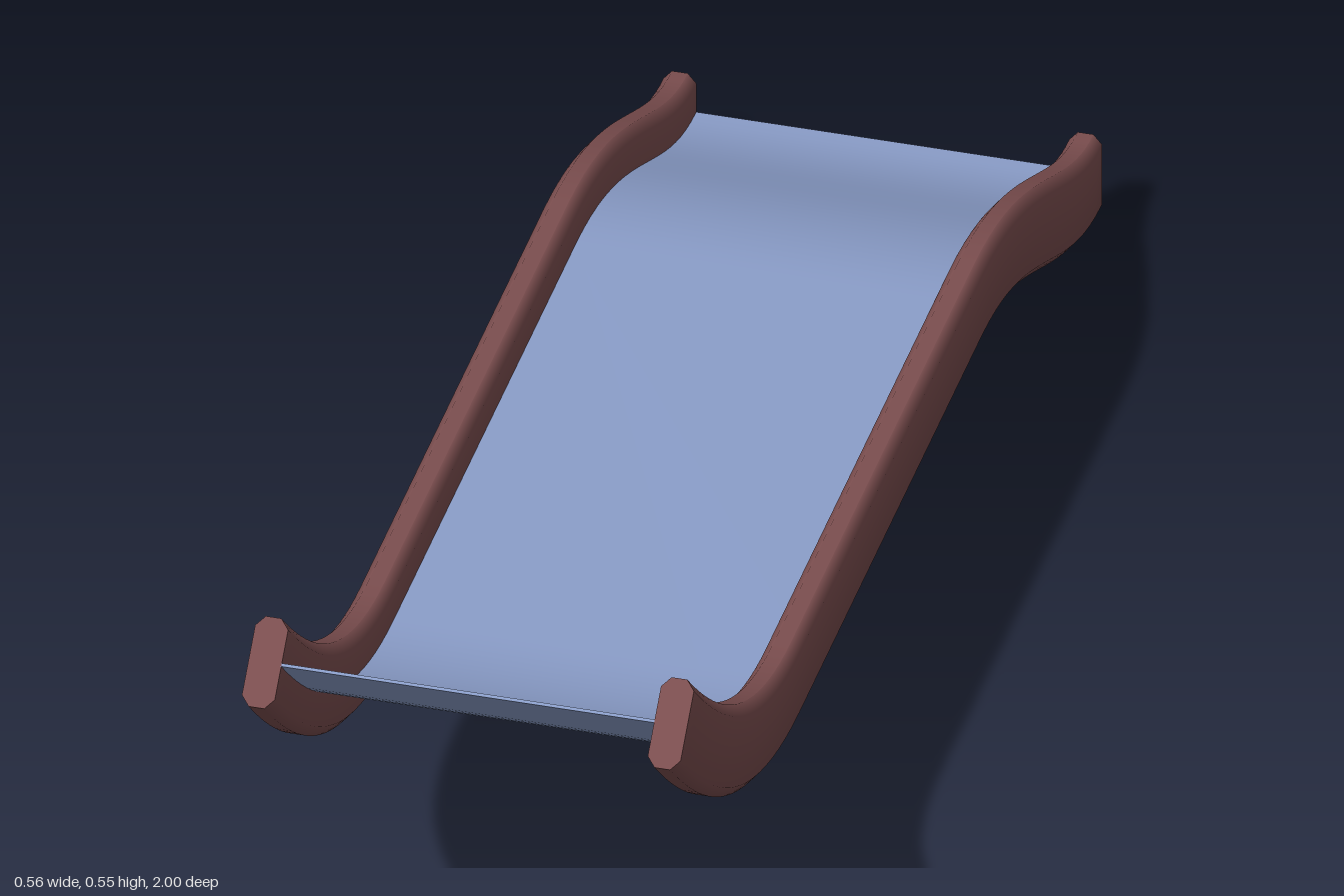
import * as THREE from 'three';
import { toCreasedNormals } from 'three/addons/utils/BufferGeometryUtils.js';

const FLAT_Y = 0.231;

// Centre line in the y-z plane: steep top lip, level middle, gentle run-out
function centreLine() {
  const p = (z, y) => new THREE.Vector3(0, y, z);
  const upper = new THREE.CubicBezierCurve3(p(0.96, 0.51), p(0.8, 0.35), p(0.63, FLAT_Y), p(0.43, FLAT_Y));
  const lower = new THREE.CubicBezierCurve3(p(-0.43, FLAT_Y), p(-0.67, FLAT_Y), p(-0.84, 0.0575), p(-1, 0.0575));
  const frames = [];
  for (const curve of [upper, lower]) {
    for (let i = 0; i <= 20; i++) {
      const t = curve.getTangent(i / 20);
      frames.push({ point: curve.getPoint(i / 20), normal: new THREE.Vector3(0, -t.z, t.y) });
    }
  }
  return frames;
}

// Sweep a convex section (x, offset along normal) along the frames, with end caps
function sweep(section, frames) {
  const pos = [], index = [], n = section.length;
  for (const { point, normal } of frames) {
    for (const [x, h] of section) pos.push(x, point.y + normal.y * h, point.z + normal.z * h);
  }
  for (let k = 0; k < frames.length - 1; k++) {
    for (let i = 0; i < n; i++) {
      const a = k * n + i, b = k * n + (i + 1) % n, c = b + n, d = a + n;
      index.push(a, d, c, a, c, b);
    }
  }
  const last = (frames.length - 1) * n;
  for (let i = 1; i < n - 1; i++) {
    index.push(0, i, i + 1);
    index.push(last, last + i + 1, last + i);
  }
  const geo = new THREE.BufferGeometry();
  geo.setAttribute('position', new THREE.Float32BufferAttribute(pos, 3));
  geo.setIndex(index);
  return toCreasedNormals(geo, 1.0);
}

export function createModel() {
  const group = new THREE.Group();
  const railMat = new THREE.MeshStandardMaterial({ color: 0x7d4f50 });
  const bedMat = new THREE.MeshStandardMaterial({ color: 0x8c9fcb });
  const frames = centreLine();

  // Chamfered side rails
  const w = 0.021, h = 0.0575, cx = 0.011, cy = 0.013;
  const railSection = [
    [w, -h + cy], [w, h - cy], [w - cx, h], [-w + cx, h],
    [-w, h - cy], [-w, -h + cy], [-w + cx, -h], [w - cx, -h],
  ];
  const railGeo = sweep(railSection, frames);
  for (const [name, side] of [['leftRail', 1], ['rightRail', -1]]) {
    const rail = new THREE.Mesh(railGeo, railMat);
    rail.name = name;
    rail.position.x = side * 0.259;
    group.add(rail);
  }

  // Thin sliding bed between the rails
  const bw = 0.24, bh = 0.002;
  const bed = new THREE.Mesh(sweep([[bw, -bh], [bw, bh], [-bw, bh], [-bw, -bh]], frames), bedMat);
  bed.name = 'slideBed';
  group.add(bed);

  return group;
}
